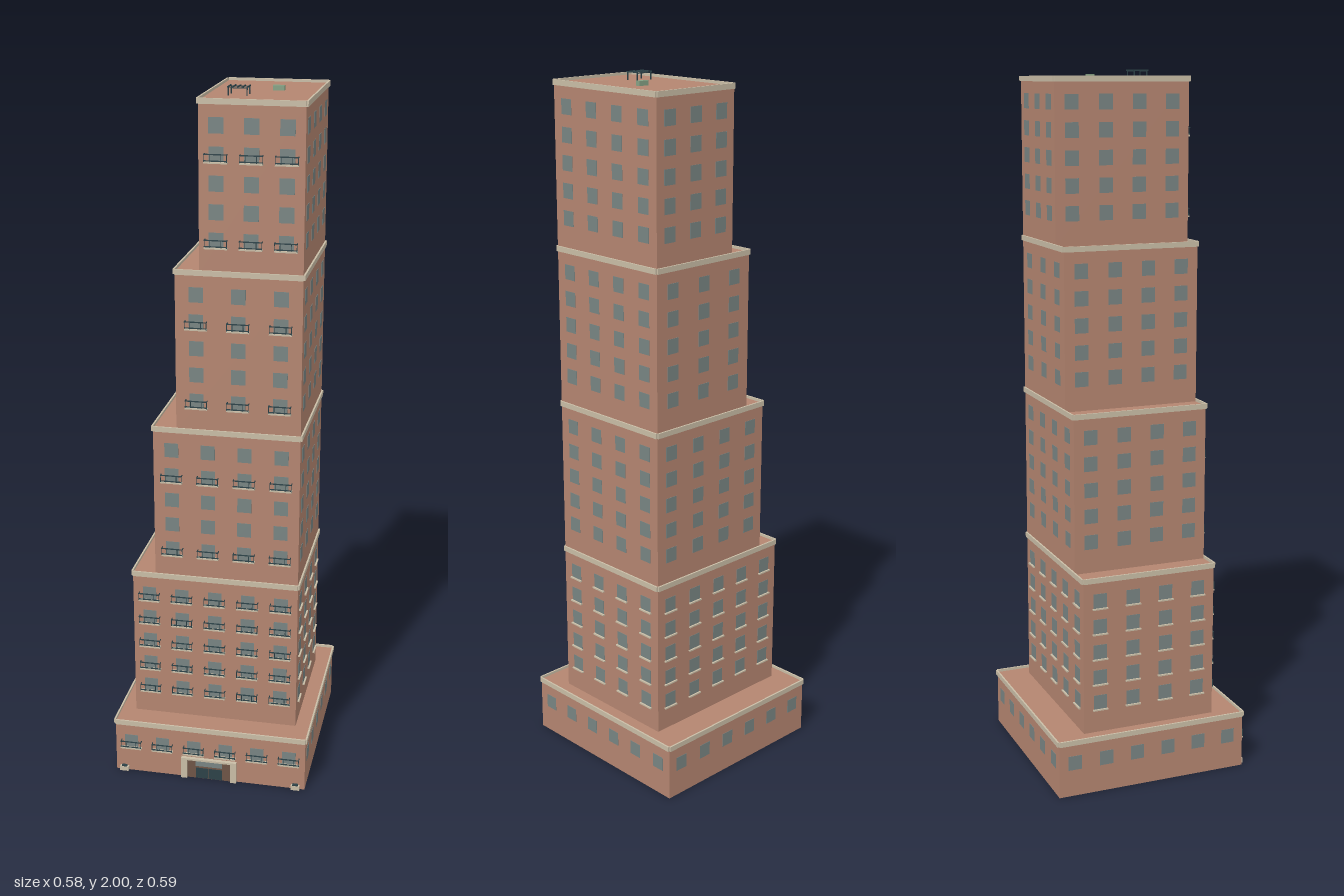
import * as THREE from 'three';

const mat = (color) => new THREE.MeshStandardMaterial({ color });
const wall = mat(0xb48570), trim = mat(0xc9bda6), glass = mat(0x788482);
const iron = mat(0x2c4248), wood = mat(0x6e5546), unitGreen = mat(0x86a184);

function box(parent, name, material, w, h, d, x, y, z) {
  const mesh = new THREE.Mesh(new THREE.BoxGeometry(w, h, d), material);
  mesh.name = name;
  mesh.position.set(x, y, z);
  parent.add(mesh);
  return mesh;
}

// Slab with a railing, built outward (+z) from the wall plane
function balcony(parent, x, y) {
  const g = new THREE.Group();
  g.name = 'balcony';
  g.position.set(x, y - 0.02, 0);
  box(g, 'balconySlab', trim, 0.0625, 0.004, 0.012, 0, 0, 0.006);
  box(g, 'frontRail', iron, 0.0625, 0.003, 0.002, 0, 0.022, 0.011);
  box(g, 'lowerRail', iron, 0.0625, 0.003, 0.002, 0, 0.005, 0.011);
  for (const s of [-1, 1]) {
    box(g, 'sideRail', iron, 0.002, 0.003, 0.011, s * 0.03, 0.022, 0.0055);
    for (const p of [0.03, 0.015]) box(g, 'railPost', iron, 0.0015, 0.022, 0.0015, s * p, 0.012, 0.011);
  }
  parent.add(g);
}

// Window grid on one face; local +z points out of the wall
function facade(parent, name, width, columns, rows, pos, angle, balconyRows, sills) {
  const g = new THREE.Group();
  g.name = name;
  g.position.set(...pos);
  g.rotation.y = angle;
  rows.forEach((y, r) => {
    for (let i = 0; i < columns; i++) {
      const x = ((i + 0.5) / columns - 0.5) * width;
      box(g, 'window', glass, 0.04, 0.042, 0.002, x, y, 0);
      if (balconyRows.includes(r)) balcony(g, x, y);
      else if (sills) box(g, 'windowSill', trim, 0.046, 0.004, 0.006, x, y - 0.023, 0.003);
    }
  });
  parent.add(g);
}

// Block with windows on four sides and a cornice standing just above its roof
function tier(parent, t) {
  const g = new THREE.Group();
  g.name = t.name;
  const w = t.x1 - t.x0, d = t.z1 - t.z0, cx = (t.x0 + t.x1) / 2, cz = (t.z0 + t.z1) / 2;
  box(g, 'walls', wall, w, t.y1 - t.y0, d, cx, (t.y0 + t.y1) / 2, cz);

  const e = 0.005, h = 0.015;
  for (const [z, s] of [[t.z0, -1], [t.z1, 1]]) box(g, 'cornice', trim, w, h, e, cx, t.y1, z + s * e / 2);
  for (const [x, s] of [[t.x0, -1], [t.x1, 1]]) box(g, 'cornice', trim, e, h, d, x + s * e / 2, t.y1, cz);

  const q = Math.PI / 2;
  facade(g, 'frontFacade', w, t.columns, t.rows, [cx, 0, t.z1], 0, t.balconies, false);
  facade(g, 'backFacade', w, t.columns, t.rows, [cx, 0, t.z0], 2 * q, [], t.sills);
  facade(g, 'leftFacade', d, t.sideColumns, t.rows, [t.x1, 0, cz], q, [], t.sills);
  facade(g, 'rightFacade', d, t.sideColumns, t.rows, [t.x0, 0, cz], -q, [], t.sills);
  parent.add(g);
}

export function createModel() {
  const model = new THREE.Group();
  model.name = 'steppedTower';

  // Wide ground floor
  const front = 0.28;
  tier(model, {
    name: 'groundFloor', x0: -0.285, x1: 0.284, z0: -0.29, z1: front, y0: 0, y1: 0.162,
    columns: 6, sideColumns: 6, rows: [0.1], balconies: [0], sills: false,
  });

  // Four stacked tiers, each stepping in from the right side
  const height = 0.4535;
  const columns = [5, 4, 3, 3];
  columns.forEach((n, i) => {
    const y0 = 0.162 + i * height;
    tier(model, {
      name: 'towerTier', x0: -0.243 + i * 0.0677, x1: 0.242, z0: -0.2, z1: 0.2, y0, y1: y0 + height,
      columns: n, sideColumns: 4,
      rows: [0, 1, 2, 3, 4].map((r) => y0 + 0.09 + r * 0.0755),
      balconies: i === 0 ? [0, 1, 2, 3, 4] : [0, 3], sills: i === 0,
    });
  });

  // Entrance: frame, door and glazing
  const entrance = new THREE.Group();
  entrance.name = 'entrance';
  entrance.position.set(-0.002, 0, front);
  for (const s of [-1, 1]) box(entrance, 'doorPillar', trim, 0.018, 0.062, 0.01, s * 0.074, 0.031, 0.005);
  box(entrance, 'doorCanopy', trim, 0.166, 0.006, 0.011, 0, 0.065, 0.0055);
  box(entrance, 'doorSurround', wood, 0.13, 0.062, 0.003, 0, 0.031, 0.0015);
  box(entrance, 'doorGlass', glass, 0.08, 0.018, 0.002, 0, 0.05, 0.003);
  for (const s of [-1, 1]) box(entrance, 'doorLeaf', iron, 0.038, 0.034, 0.002, s * 0.02, 0.018, 0.003);
  model.add(entrance);

  // Small blocks at the foot of the front corners
  for (const x of [-0.26, 0.257]) {
    box(model, 'cornerBlock', trim, 0.026, 0.014, 0.01, x, 0.007, front + 0.005);
    box(model, 'cornerBlockCap', iron, 0.016, 0.004, 0.008, x, 0.016, front + 0.005);
  }

  // Rooftop frame of thin slats and a small plant unit
  const roof = 0.162 + 4 * height;
  const frame = new THREE.Group();
  frame.name = 'roofFrame';
  frame.position.set(0.0435, roof, 0.0775);
  for (let i = -2; i <= 2; i++) box(frame, 'slat', iron, 0.003, 0.003, 0.045, i * 0.013, 0.0225, 0);
  for (const z of [-0.019, 0.019]) {
    box(frame, 'crossBeam', iron, 0.054, 0.002, 0.002, 0, 0.02, z);
    for (const x of [-0.025, 0.025]) box(frame, 'post', iron, 0.003, 0.022, 0.003, x, 0.011, z);
  }
  model.add(frame);
  box(model, 'roofUnit', unitGreen, 0.032, 0.013, 0.015, 0.132, roof + 0.0065, -0.03);

  return model;
}
